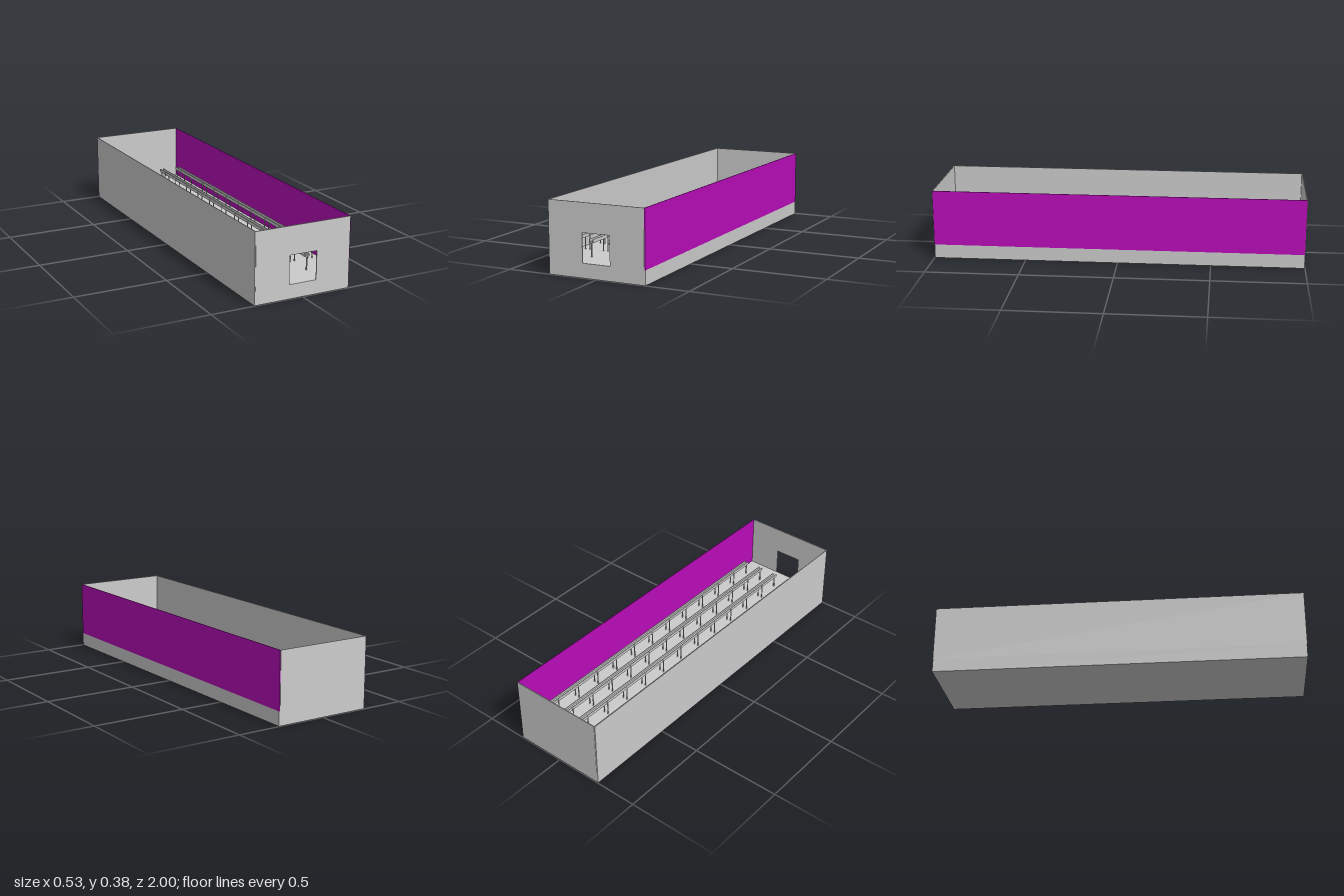
import * as THREE from 'three';

const grey = new THREE.MeshStandardMaterial({ color: 0xcccccc });
const purple = new THREE.MeshStandardMaterial({ color: 0xb80cb8 });

// Box given by its extents along each axis
function box(name, [x0, x1], [y0, y1], [z0, z1], material = grey) {
  const mesh = new THREE.Mesh(new THREE.BoxGeometry(x1 - x0, y1 - y0, z1 - z0), material);
  mesh.position.set((x0 + x1) / 2, (y0 + y1) / 2, (z0 + z1) / 2);
  mesh.name = name;
  return mesh;
}

const FLOOR = 0.075, TOP = 0.377;
const HALF_W = 0.267, INNER_W = 0.263, HALF_L = 0.9975;
const GUTTER_BACK = -0.868, GUTTER_FRONT = 0.865;

// Front wall panel with a square doorway open at the bottom
function frontWall() {
  const outline = [
    [-INNER_W, FLOOR], [-0.076, FLOOR], [-0.076, 0.227], [0.076, 0.227],
    [0.076, FLOOR], [INNER_W, FLOOR], [INNER_W, TOP], [-INNER_W, TOP],
  ].map(([x, y]) => new THREE.Vector2(x, y));
  const geometry = new THREE.ExtrudeGeometry(new THREE.Shape(outline), { depth: 0.005, bevelEnabled: false });
  const mesh = new THREE.Mesh(geometry, grey);
  mesh.position.z = 0.995;
  mesh.name = 'frontWall';
  return mesh;
}

// One long U-shaped gutter on its supports
function gutterRow() {
  const row = new THREE.Group();
  row.name = 'gutterRow';

  const profile = [
    [-0.012, 0.147], [0.012, 0.147], [0.012, 0.165], [0.0085, 0.165],
    [0.0085, 0.153], [-0.0085, 0.153], [-0.0085, 0.165], [-0.012, 0.165],
  ].map(([x, y]) => new THREE.Vector2(x, y));
  const gutter = new THREE.Mesh(
    new THREE.ExtrudeGeometry(new THREE.Shape(profile), { depth: GUTTER_FRONT - GUTTER_BACK, bevelEnabled: false }),
    grey
  );
  gutter.position.z = GUTTER_BACK;
  gutter.name = 'gutter';
  row.add(gutter);

  // Paired uprights along both sides
  for (let i = 0; i < 11; i++) {
    const z = 0.72 - i * 0.151;
    for (const x of [-0.013, 0.013]) {
      row.add(box('upright', [x - 0.0013, x + 0.0013], [FLOOR, 0.158], [z - 0.003, z + 0.003]));
    }
  }

  // Single post below each end
  for (const z of [GUTTER_BACK + 0.004, GUTTER_FRONT - 0.004]) {
    row.add(box('endPost', [-0.0025, 0.0025], [FLOOR, 0.147], [z - 0.003, z + 0.003]));
  }
  return row;
}

export function createModel() {
  const model = new THREE.Group();
  model.name = 'growingHall';

  // Base slab and enclosing walls
  model.add(
    box('base', [-HALF_W, HALF_W], [0, FLOOR], [-HALF_L, HALF_L]),
    box('leftWall', [INNER_W, HALF_W], [FLOOR, TOP], [-HALF_L, HALF_L], purple),
    box('rightWall', [-HALF_W, -INNER_W], [FLOOR, TOP], [-HALF_L, HALF_L]),
    box('backWall', [-INNER_W, INNER_W], [FLOOR, TOP], [-1, -0.995]),
    frontWall()
  );

  // Five parallel gutter rows
  for (let i = -2; i <= 2; i++) {
    const row = gutterRow();
    row.position.x = i * 0.105;
    model.add(row);
  }
  return model;
}
